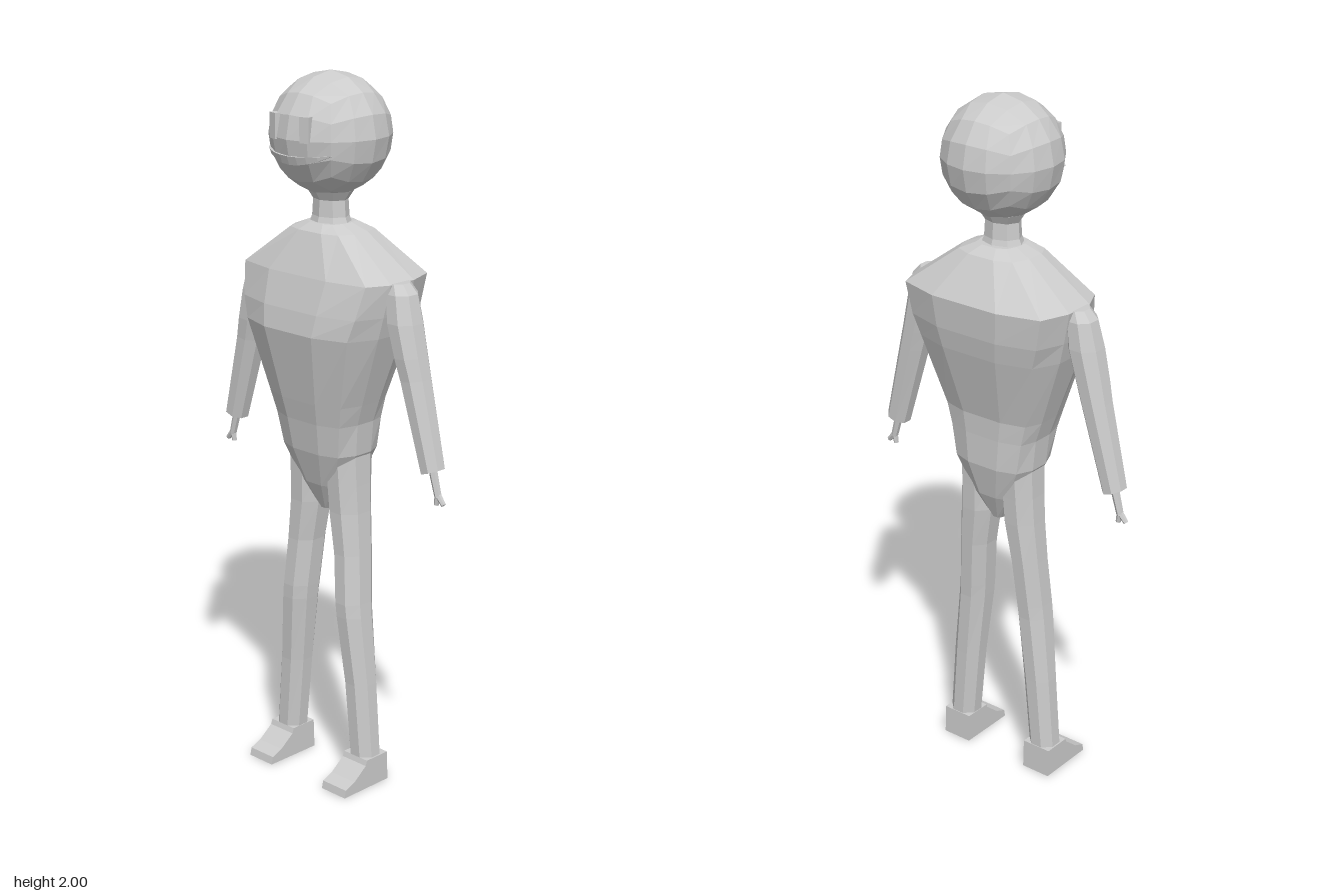
import * as THREE from 'three';

const material = new THREE.MeshStandardMaterial({ color: 0xcccccc, flatShading: true, side: THREE.DoubleSide });

function add(parent, name, geometry) {
  const mesh = new THREE.Mesh(geometry, material);
  mesh.name = name;
  parent.add(mesh);
  return mesh;
}

// Skin over closed rings, listed from bottom to top, with both ends capped
function loft(rings) {
  const n = rings[0].length, positions = rings.flat(2), index = [];
  for (let i = 0; i < rings.length - 1; i++) {
    for (let j = 0; j < n; j++) {
      const a = i * n + j, b = i * n + (j + 1) % n;
      index.push(a, b, b + n, a, b + n, a + n);
    }
  }
  const top = (rings.length - 1) * n;
  for (let j = 1; j < n - 1; j++) {
    index.push(0, j + 1, j, top, top + j, top + j + 1);
  }
  const geometry = new THREE.BufferGeometry();
  geometry.setAttribute('position', new THREE.Float32BufferAttribute(positions, 3));
  geometry.setIndex(index);
  geometry.computeVertexNormals();
  return geometry;
}

// Eight-sided limb ring; tilt raises the outer side
function limbRing(side, [y, cx, rx, cz, rz, tilt = 0]) {
  return Array.from({ length: 8 }, (_, i) => {
    const a = (i + 0.5) * Math.PI / 4, k = 1 / Math.cos(Math.PI / 8);
    const dx = Math.sin(a) * rx * k;
    return [side * cx + dx, y + side * dx * tilt, cz + Math.cos(a) * rz * k];
  });
}

// Torso ring: corner x, side x, front z, back z
function torsoRing([y, corner, side, front, back]) {
  const half = [
    [corner * 0.47, front], [corner, front * 0.8], [side, front * 0.3],
    [side, back * 0.3], [corner, back * 0.8], [corner * 0.47, back],
  ];
  return [
    [0, y, front], ...half.map(([x, z]) => [x, y, z]),
    [0, y, back], ...half.reverse().map(([x, z]) => [-x, y, z]),
  ];
}

// Straight rod between two points
function rod(parent, name, from, to, r0, r1) {
  const a = new THREE.Vector3(...from), b = new THREE.Vector3(...to);
  const dir = b.clone().sub(a);
  const mesh = add(parent, name, new THREE.CylinderGeometry(r1, r0, dir.length(), 6));
  mesh.position.copy(a).add(b).multiplyScalar(0.5);
  mesh.quaternion.setFromUnitVectors(new THREE.Vector3(0, 1, 0), dir.normalize());
}

function buildHead(parent) {
  const head = new THREE.Group();
  head.name = 'head';
  head.position.y = 1.835;
  parent.add(head);

  // Skull: a subdivided cube pushed out to a sphere
  const skull = new THREE.BoxGeometry(2, 2, 2, 4, 4, 4);
  const p = skull.attributes.position, v = new THREE.Vector3();
  for (let i = 0; i < p.count; i++) {
    v.fromBufferAttribute(p, i);
    v.set(...v.toArray().map((c) => Math.tan(c * Math.PI / 4))).setLength(0.165);
    p.setXYZ(i, v.x, v.y, v.z);
  }
  skull.computeVertexNormals();
  add(head, 'skull', skull);

  for (const s of [1, -1]) {
    const eye = add(head, s > 0 ? 'leftEye' : 'rightEye', new THREE.BoxGeometry(0.028, 0.068, 0.03));
    eye.position.set(s * 0.055, 0.03, 0.143);
    eye.rotation.y = s * 0.25;
  }

  // Mouth: crescent wrapped round the front of the skull
  const rings = [];
  for (let i = 0; i <= 8; i++) {
    const t = i / 4 - 1, x = t * 0.115;
    const top = -0.043 + 0.008 * t * t, bottom = -0.067 + 0.03 * t * t;
    const at = (y, r) => [x, y, Math.sqrt(r * r - x * x - y * y)];
    rings.push([at(top, 0.168), at(top, 0.15), at(bottom, 0.15), at(bottom, 0.168)]);
  }
  add(head, 'mouth', loft(rings));
}

function buildLeg(parent, s) {
  const leg = new THREE.Group();
  leg.name = s > 0 ? 'leftLeg' : 'rightLeg';
  parent.add(leg);
  // y, centre x, half width, centre z, half depth
  const rings = [
    [0.08, 0.147, 0.042, 0.01, 0.04], [0.3, 0.128, 0.044, 0.01, 0.043],
    [0.5, 0.107, 0.046, 0.014, 0.052], [0.54, 0.103, 0.046, 0.013, 0.054],
    [0.68, 0.091, 0.047, 0.004, 0.055], [0.8, 0.076, 0.053, 0, 0.06],
    [0.88, 0.072, 0.053, 0, 0.064], [0.98, 0.07, 0.052, 0, 0.07],
  ];
  add(leg, 'trouser', loft(rings.map((r) => limbRing(s, r))));

  // Foot: side profile (z, y) extruded across its width
  const profile = [[-0.035, 0], [0.14, 0], [0.135, 0.022], [0.1, 0.036], [0.055, 0.07], [0.05, 0.085], [-0.032, 0.085]];
  const foot = new THREE.ExtrudeGeometry(
    new THREE.Shape(profile.map(([z, y]) => new THREE.Vector2(z, y))),
    { depth: 0.09, bevelEnabled: false },
  );
  foot.translate(0, 0, -0.045).rotateY(-Math.PI / 2);
  add(leg, 'foot', foot).position.x = s * 0.148;
}

function buildArm(parent, s) {
  const arm = new THREE.Group();
  arm.name = s > 0 ? 'leftArm' : 'rightArm';
  parent.add(arm);
  const rings = [
    [0.98, 0.38, 0.03, 0, 0.033, 0.35], [1.22, 0.315, 0.039, 0, 0.042, 0.15],
    [1.28, 0.299, 0.042, 0.002, 0.046, 0.1], [1.37, 0.276, 0.046, 0.002, 0.049],
    [1.445, 0.262, 0.04, 0, 0.043], [1.472, 0.25, 0.028, 0, 0.032],
  ];
  add(arm, 'sleeve', loft(rings.map((r) => limbRing(s, r))));

  // Stick hand with a small fork at its end
  rod(arm, 'wrist', [s * 0.378, 0.99, 0], [s * 0.4, 0.912, 0], 0.012, 0.01);
  rod(arm, 'outerFinger', [s * 0.399, 0.918, 0], [s * 0.42, 0.894, 0], 0.009, 0.007);
  rod(arm, 'innerFinger', [s * 0.399, 0.918, 0], [s * 0.394, 0.89, 0], 0.009, 0.007);
}

export function createModel() {
  const model = new THREE.Group();
  model.name = 'figure';

  // Torso: y, corner x, side x, front z, back z
  const torso = [
    [0.79, 0.015, 0.022, 0.03, -0.035], [0.87, 0.06, 0.07, 0.067, -0.07],
    [0.97, 0.105, 0.126, 0.098, -0.093], [1.06, 0.12, 0.135, 0.112, -0.093],
    [1.12, 0.135, 0.155, 0.125, -0.095], [1.32, 0.19, 0.225, 0.165, -0.148],
    [1.38, 0.21, 0.24, 0.155, -0.16], [1.47, 0.228, 0.258, 0.128, -0.168],
    [1.58, 0.09, 0.11, 0.08, -0.095], [1.6, 0.05, 0.06, 0.055, -0.06],
  ];
  add(model, 'torso', loft(torso.map(torsoRing)));

  // Neck, flared at both ends
  const neck = [[0.065, 1.59], [0.055, 1.615], [0.052, 1.66], [0.07, 1.685]];
  const neckMesh = add(model, 'neck', new THREE.LatheGeometry(neck.map(([r, y]) => new THREE.Vector2(r, y)), 8));
  neckMesh.scale.z = 0.82;

  buildHead(model);
  for (const s of [1, -1]) {
    buildLeg(model, s);
    buildArm(model, s);
  }
  return model;
}
